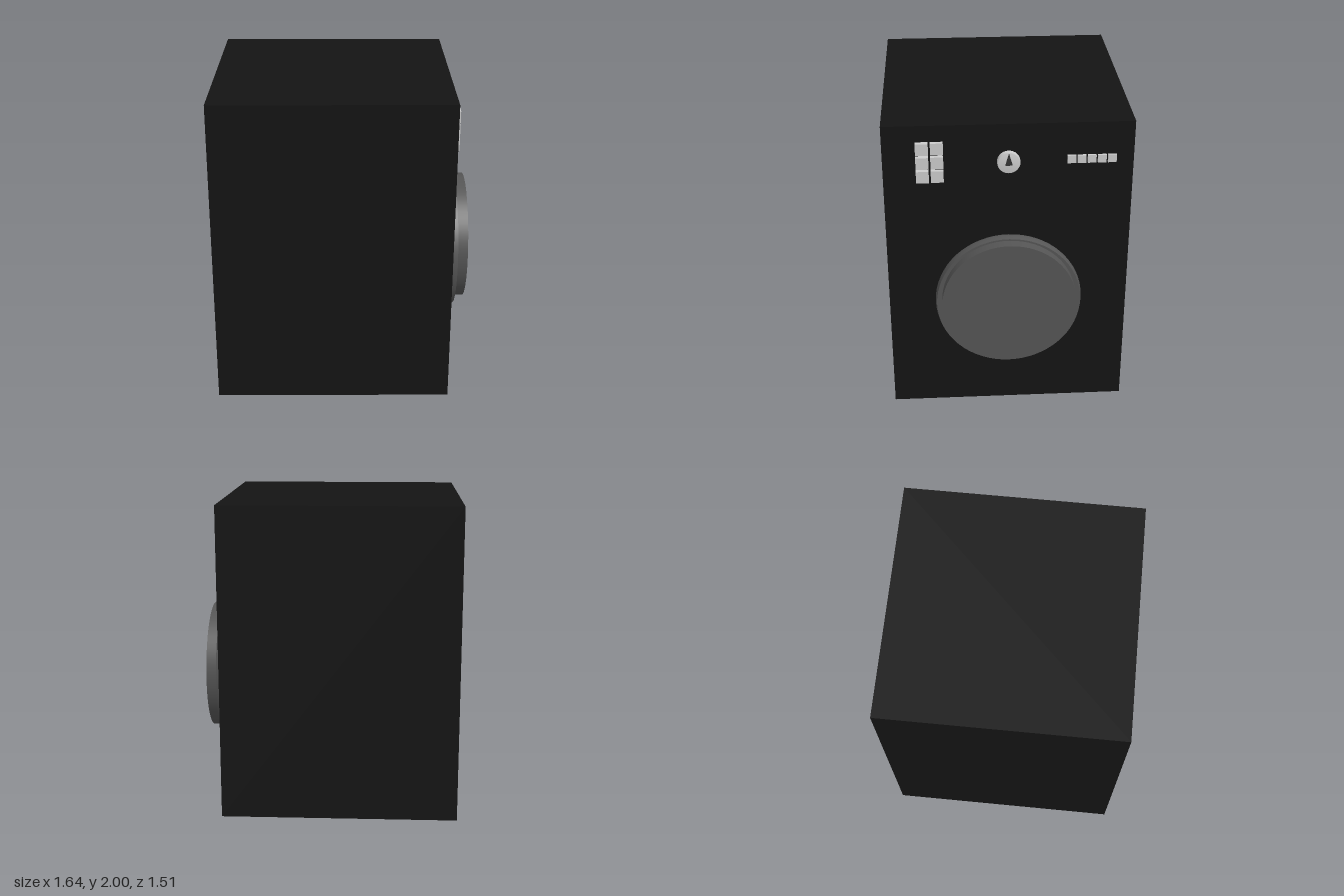
import * as THREE from 'three';

const FACE = 0.685; // x of the panel carrying the door and controls

const material = (color) => new THREE.MeshStandardMaterial({ color });

function addMesh(parent, name, geometry, mat, x, y, z) {
  const mesh = new THREE.Mesh(geometry, mat);
  mesh.name = name;
  mesh.position.set(x, y, z);
  parent.add(mesh);
  return mesh;
}

// Solid of revolution around the x axis; points are [radius, x]
function turned(points, segments = 64) {
  const profile = points.map(([r, x]) => new THREE.Vector2(r, x));
  return new THREE.LatheGeometry(profile, segments).rotateZ(-Math.PI / 2);
}

export function createModel() {
  const model = new THREE.Group();
  model.name = 'washingMachine';
  const black = material(0x141414);
  const dark = material(0x555555);
  const grey = material(0xcccccc);

  // Cabinet
  addMesh(model, 'cabinet', new THREE.BoxGeometry(1.505, 2, 1.51), black, -0.0675, 1, 0);

  // Door: rounded rim with a flat disc set slightly high on it
  const door = new THREE.Group();
  door.name = 'door';
  model.add(door);
  const rim = turned([[0.452, 0], [0.46, 0.012], [0.463, 0.025], [0.46, 0.045], [0.455, 0.065]]);
  addMesh(door, 'doorRim', rim, dark, FACE, 0.8, 0);
  const rimFace = new THREE.CircleGeometry(0.455, 64).rotateY(Math.PI / 2);
  addMesh(door, 'doorRimFace', rimFace, dark, FACE + 0.065, 0.8, 0);
  const disc = new THREE.CylinderGeometry(0.422, 0.422, 0.067, 64).rotateZ(-Math.PI / 2);
  addMesh(door, 'doorDisc', disc, dark, FACE + 0.0985, 0.822, 0);

  // Program buttons, two columns of three
  const buttons = new THREE.Group();
  buttons.name = 'programButtons';
  model.add(buttons);
  for (let row = 0; row < 3; row++) {
    [0.518, 0.429].forEach((z, col) => {
      const depth = col === 0 ? 0.03 : 0.026;
      addMesh(buttons, 'programButton', new THREE.BoxGeometry(depth, 0.076, 0.077), grey,
        FACE + depth / 2, 1.858 - row * 0.091, z);
    });
  }

  // Row of indicator keys
  const keys = new THREE.Group();
  keys.name = 'indicatorKeys';
  model.add(keys);
  for (let i = 0; i < 5; i++) {
    addMesh(keys, 'indicatorKey', new THREE.BoxGeometry(0.016, 0.05, 0.052), grey,
      FACE + 0.008, 1.765, -0.379 - i * 0.061);
  }

  // Dial with a raised, tapering pointer
  const dial = new THREE.Group();
  dial.name = 'dial';
  model.add(dial);
  const knob = turned([[0.07, 0], [0.07, 0.022], [0.064, 0.031], [0, 0.034]], 32);
  addMesh(dial, 'knob', knob, grey, FACE, 1.757, 0);
  const wedge = new THREE.Shape([
    new THREE.Vector2(-0.022, -0.01),
    new THREE.Vector2(0.022, -0.01),
    new THREE.Vector2(0, 0.066),
  ]);
  const pointer = new THREE.ExtrudeGeometry(wedge, { depth: 0.02, bevelEnabled: false }).rotateY(Math.PI / 2);
  addMesh(dial, 'pointer', pointer, material(0x333333), FACE + 0.022, 1.757, 0);

  return model;
}
